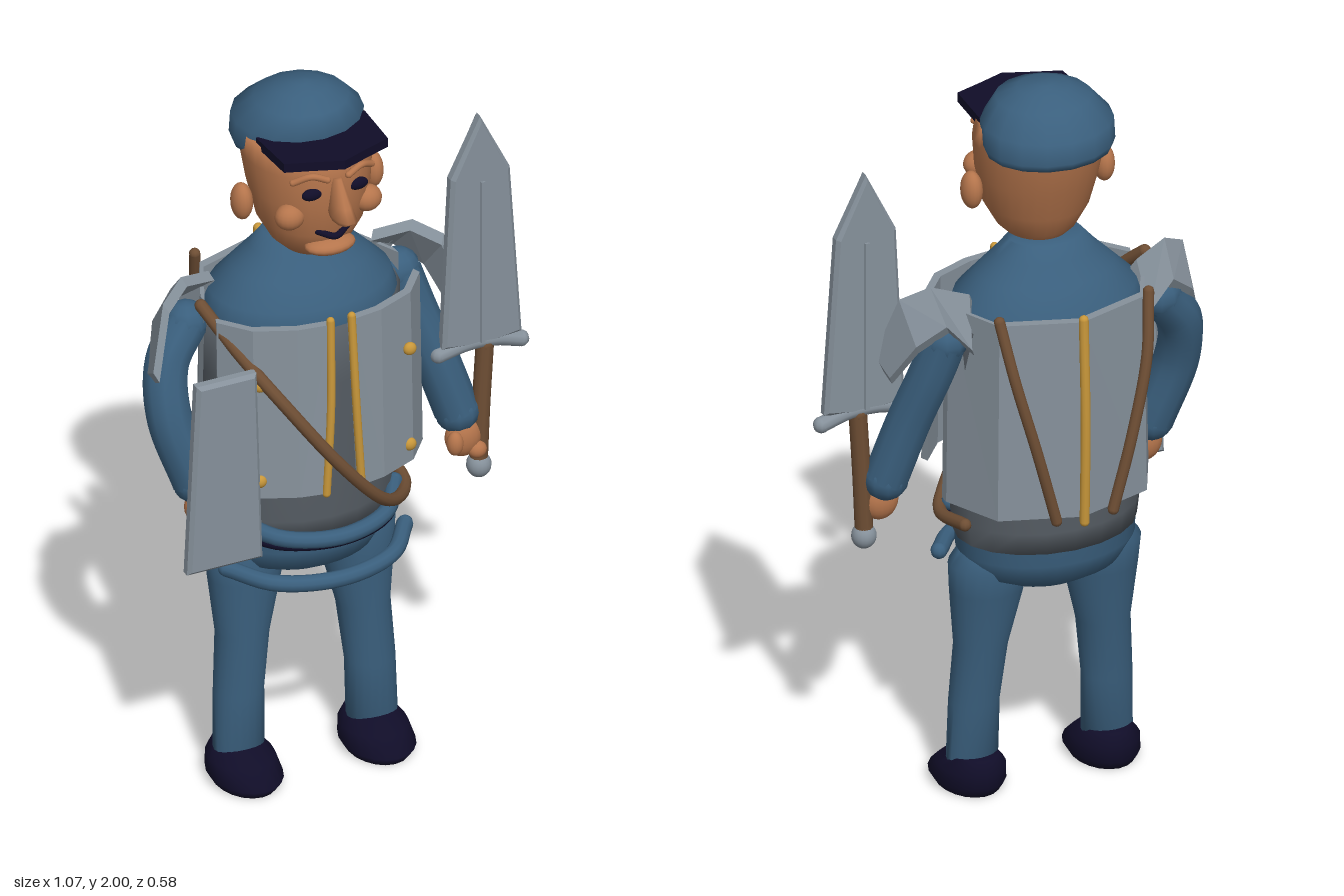
import * as THREE from 'three';
import { mergeGeometries } from 'three/addons/utils/BufferGeometryUtils.js';

const mat = (name, color) => Object.assign(new THREE.MeshStandardMaterial({ color }), { name });
const V = (p) => new THREE.Vector3(...p);

// Skin a list of equal-length closed rings, capped at both ends
function loft(rings, flat = false) {
  const n = rings[0].length, pos = [], idx = [];
  rings.forEach((r) => r.forEach((p) => pos.push(...p)));
  for (let i = 0; i < rings.length - 1; i++) {
    for (let j = 0; j < n; j++) {
      const a = i * n + j, b = i * n + (j + 1) % n, c = b + n, d = a + n;
      idx.push(a, d, b, b, d, c);
    }
  }
  const t = (rings.length - 1) * n;
  for (let j = 1; j < n - 1; j++) idx.push(0, j, j + 1, t, t + j + 1, t + j);
  let g = new THREE.BufferGeometry();
  g.setAttribute('position', new THREE.Float32BufferAttribute(pos, 3));
  g.setIndex(idx);
  if (flat) g = g.toNonIndexed();
  g.computeVertexNormals();
  return g;
}

// Horizontal ellipse ring: height, centre x, half width, front z, back z
const ring = (y, x, rx, zf, zb, n = 20) => Array.from({ length: n }, (_, i) => {
  const a = (i / n) * Math.PI * 2;
  return [x + Math.cos(a) * rx, y, (zf + zb) / 2 + Math.sin(a) * (zf - zb) / 2];
});
const stack = (rows, n) => loft(rows.map((r) => ring(...r, n)));

// Bent slab between two edges, thickened by an offset
function slab(edgeA, edgeB, off) {
  const add = (p) => p.map((v, k) => v + off[k]);
  return loft(edgeA.map((a, i) => [a, edgeB[i], add(edgeB[i]), add(a)]), true);
}

// Round-ended tube through points
function tube(points, r, seg = 24) {
  const pts = points.map(V);
  const end = (p) => new THREE.SphereGeometry(r, 10, 8).translate(p.x, p.y, p.z);
  return mergeGeometries([
    new THREE.TubeGeometry(new THREE.CatmullRomCurve3(pts), seg, r, 10),
    end(pts[0]), end(pts[pts.length - 1]),
  ]);
}
const ball = (x, y, z, rx, ry, rz) =>
  new THREE.SphereGeometry(1, 18, 12).scale(rx, ry, rz).translate(x, y, z);

function extrude(points, depth, bevel) {
  const shape = new THREE.Shape(points.map((p) => new THREE.Vector2(...p)));
  return new THREE.ExtrudeGeometry(shape, {
    depth, bevelEnabled: bevel > 0, bevelSize: bevel, bevelThickness: bevel, bevelOffset: -bevel, bevelSegments: 1,
  });
}

export function createModel() {
  const blue = mat('blue cloth', 0x3a5f7d), skin = mat('skin', 0xb5754c), steel = mat('steel', 0x86919b),
    darkSteel = mat('dark steel', 0x565d64), navy = mat('dark navy', 0x100d28),
    gold = mat('gold', 0xc8973a), leather = mat('brown leather', 0x6e4e34);

  const model = new THREE.Group();
  const body = new THREE.Group();
  body.name = 'body';
  body.position.x = -0.083;
  model.add(body);
  const put = (parent, name, geometry, material) => {
    const m = new THREE.Mesh(geometry, material);
    m.name = name;
    parent.add(m);
    return m;
  };

  // Torso, hips and waist shell
  const round = (y, r) => [y, 0, r, r * 0.77 - 0.025, -r * 0.77 - 0.025];
  put(body, 'torso', stack([[0.6, 0.13], [0.635, 0.2], [0.7, 0.24], [0.9, 0.245], [1.2, 0.258],
    [1.36, 0.265], [1.42, 0.245], [1.48, 0.185], [1.53, 0.135], [1.57, 0.1]].map((p) => round(...p)), 32), blue);
  put(body, 'waistShell', stack([[0.74, 0.245], [0.8, 0.252], [0.93, 0.258], [1.2, 0.266], [1.37, 0.27]]
    .map((p) => round(...p)), 20), darkSteel);

  // Parts that repeat on both sides
  for (const s of [1, -1]) {
    const side = new THREE.Group();
    side.name = s > 0 ? 'leftSide' : 'rightSide';
    side.scale.x = s;
    body.add(side);

    put(side, 'leg', stack([[0.07, 0.19, 0.07, 0.062, -0.042], [0.25, 0.187, 0.068, 0.062, -0.055],
      [0.42, 0.172, 0.072, 0.063, -0.075], [0.58, 0.16, 0.1, 0.066, -0.1],
      [0.66, 0.155, 0.11, 0.07, -0.115], [0.71, 0.15, 0.08, 0.05, -0.09]], 20), blue);
    put(side, 'shoe', stack([[0, 0.189, 0.08, 0.15, -0.07], [0.025, 0.189, 0.095, 0.168, -0.085],
      [0.065, 0.189, 0.088, 0.12, -0.085], [0.1, 0.189, 0.06, 0.055, -0.07]], 20), navy);

    const plan = [[0.035, 0.232], [0.12, 0.22], [0.225, 0.175], [0.29, 0.095]];
    put(side, 'chestPlate', slab(plan.map(([x, z]) => [x + (x < 0.1 ? 0.018 : 0), 0.92, z + 0.008]),
      plan.map(([x, z]) => [x, 1.41, z - 0.01]), [-0.008, 0, -0.022]), steel);
    put(side, 'chestTrim', tube([[0.03, 1.42, 0.22], [0.036, 1.17, 0.235], [0.05, 0.92, 0.238]], 0.011), gold);
    for (const y of [0.97, 1.255]) put(side, 'rivet', ball(0.213, y, 0.185, 0.018, 0.018, 0.014), gold);
    put(side, 'backStrap', tube([[0.21, 1.44, -0.205], [0.185, 1.28, -0.25], [0.135, 1.08, -0.272], [0.08, 0.87, -0.272]], 0.015), leather);
    put(side, 'shoulderPlate', slab(
      [[0.235, 1.465, -0.075], [0.33, 1.49, -0.04], [0.4, 1.45, 0.0], [0.45, 1.28, 0.045]],
      [[0.25, 1.33, -0.125], [0.32, 1.41, -0.12], [0.39, 1.35, -0.085], [0.435, 1.24, -0.02]],
      [-0.012, -0.025, 0.012]), steel);

    put(side, 'ear', ball(0.186, 1.713, 0.02, 0.028, 0.052, 0.036), skin);
    put(side, 'eye', ball(0.065, 1.788, 0.184, 0.029, 0.017, 0.014), navy);
    put(side, 'eyebrow', tube([[0.03, 1.832, 0.202], [0.07, 1.846, 0.192], [0.112, 1.826, 0.168]], 0.009), skin);
    put(side, 'cheek', ball(0.11, 1.713, 0.145, 0.04, 0.036, 0.035), skin);
  }

  // Back plate with central ridge trim
  const backPlan = [[-0.285, -0.04], [-0.21, -0.195], [0, -0.262], [0.21, -0.195], [0.285, -0.04]];
  put(body, 'backPlate', slab(backPlan.map(([x, z]) => [x * 0.97, 1.42, z + 0.004]),
    backPlan.map(([x, z]) => [x, 0.86, z]), [0, 0, 0.025]), steel);
  put(body, 'backTrim', tube([[0, 1.43, -0.265], [0, 1.15, -0.276], [0, 0.85, -0.27]], 0.013), gold);

  // Belts across the front of the hips
  const belt = (name, w, y, sag, r, z, m) => put(body, name, tube([[-w, y, 0.07], [-w * 0.65, y - sag * 0.7, z * 0.8],
    [0, y - sag, z], [w * 0.65, y - sag * 0.7, z * 0.8], [w, y, 0.07]], r), m);
  belt('upperBelt', 0.225, 0.795, 0.025, 0.022, 0.222, blue);
  belt('beltSeam', 0.23, 0.762, 0.012, 0.012, 0.215, navy);
  belt('lowerBelt', 0.255, 0.66, 0.015, 0.022, 0.222, blue);

  // Head and face
  put(body, 'head', stack([[1.555, 0, 0.07, 0.11, -0.05], [1.59, 0, 0.105, 0.15, -0.085], [1.65, 0, 0.138, 0.18, -0.115],
    [1.74, 0, 0.158, 0.197, -0.145], [1.83, 0, 0.168, 0.2, -0.175], [1.89, 0, 0.165, 0.185, -0.178]], 28), skin);
  put(body, 'nose', loft([ring(1.715, 0, 0.022, 0.26, 0.17, 10), ring(1.735, 0, 0.03, 0.287, 0.17, 10),
    ring(1.765, 0, 0.024, 0.262, 0.17, 10), ring(1.83, 0, 0.013, 0.213, 0.17, 10)]), skin);
  put(body, 'mouth', tube([[-0.042, 1.665, 0.172], [0, 1.651, 0.19], [0.042, 1.665, 0.172]], 0.009), navy);
  put(body, 'chin', ball(0, 1.61, 0.155, 0.07, 0.024, 0.045), skin);

  // Cap with pointed visor
  put(body, 'cap', stack([[1.832, 0, 0.168, 0.095, -0.195], [1.85, 0, 0.175, 0.105, -0.2], [1.91, 0, 0.174, 0.125, -0.2],
    [1.965, 0, 0.125, 0.105, -0.135], [1.99, 0, 0.07, 0.05, -0.08], [2, 0, 0.02, 0, -0.04]], 16), blue);
  put(body, 'visor', extrude([[-0.155, -0.04], [0.155, -0.04], [0.148, -0.19], [0.075, -0.215], [0, -0.243],
    [-0.075, -0.215], [-0.148, -0.19]], 0.026, 0).rotateX(-Math.PI / 2).translate(0, 1.878, 0), navy);

  // Arms and hands
  const arm = (name, pts) => put(model, name, tube(pts, 0.06), blue);
  arm('leftArm', [[0.215, 1.34, -0.06], [0.245, 1.24, -0.04], [0.29, 1.1, -0.005], [0.342, 0.93, 0.025]]);
  arm('rightArm', [[-0.39, 1.34, -0.06], [-0.455, 1.25, -0.035], [-0.47, 1.12, 0.005], [-0.415, 0.93, 0.045]]);
  for (const [name, x, z] of [['leftHand', 0.35, 0.045], ['rightHand', -0.4, 0.06]]) {
    put(model, name, ball(x, 0.86, z, 0.05, 0.056, 0.036), skin);
    put(model, name + 'Thumb', ball(x - 0.035, 0.86, z + 0.025, 0.022, 0.034, 0.022), skin);
    put(model, name + 'Fingers', ball(x + 0.03, 0.825, z + 0.02, 0.026, 0.024, 0.024), skin);
  }

  // Diagonal shoulder strap
  put(model, 'shoulderStrap', tube([[-0.385, 1.43, 0.02], [-0.33, 1.33, 0.13], [-0.25, 1.21, 0.232], [-0.12, 1.03, 0.278],
    [0.02, 0.87, 0.245], [0.12, 0.8, 0.15], [0.178, 0.785, 0.05], [0.172, 0.81, -0.09]], 0.017, 48), leather);

  // Shield plate in the right hand
  put(model, 'shield', extrude([[-0.51, 0.75], [-0.295, 0.75], [-0.312, 1.305], [-0.483, 1.305]], 0.02, 0.01)
    .translate(0, 0, 0.175), steel);

  // Sword in the left hand
  put(model, 'blade', extrude([[0.285, 1.14], [0.4, 1.125], [0.512, 1.14], [0.478, 1.64], [0.394, 1.81], [0.31, 1.64]], 0.02, 0.01)
    .translate(0, 0, 0.035), steel);
  put(model, 'bladeRidge', new THREE.BoxGeometry(0.012, 0.48, 0.052).translate(0.396, 1.38, 0.045), steel);
  put(model, 'guard', tube([[0.28, 1.12, 0.045], [0.36, 1.135, 0.045], [0.44, 1.132, 0.045], [0.515, 1.11, 0.045]], 0.022), steel);
  put(model, 'grip', tube([[0.412, 1.12, 0.045], [0.402, 0.95, 0.045], [0.395, 0.79, 0.045]], 0.024), leather);
  put(model, 'pommel', ball(0.395, 0.765, 0.045, 0.033, 0.035, 0.033), steel);

  return model;
}
